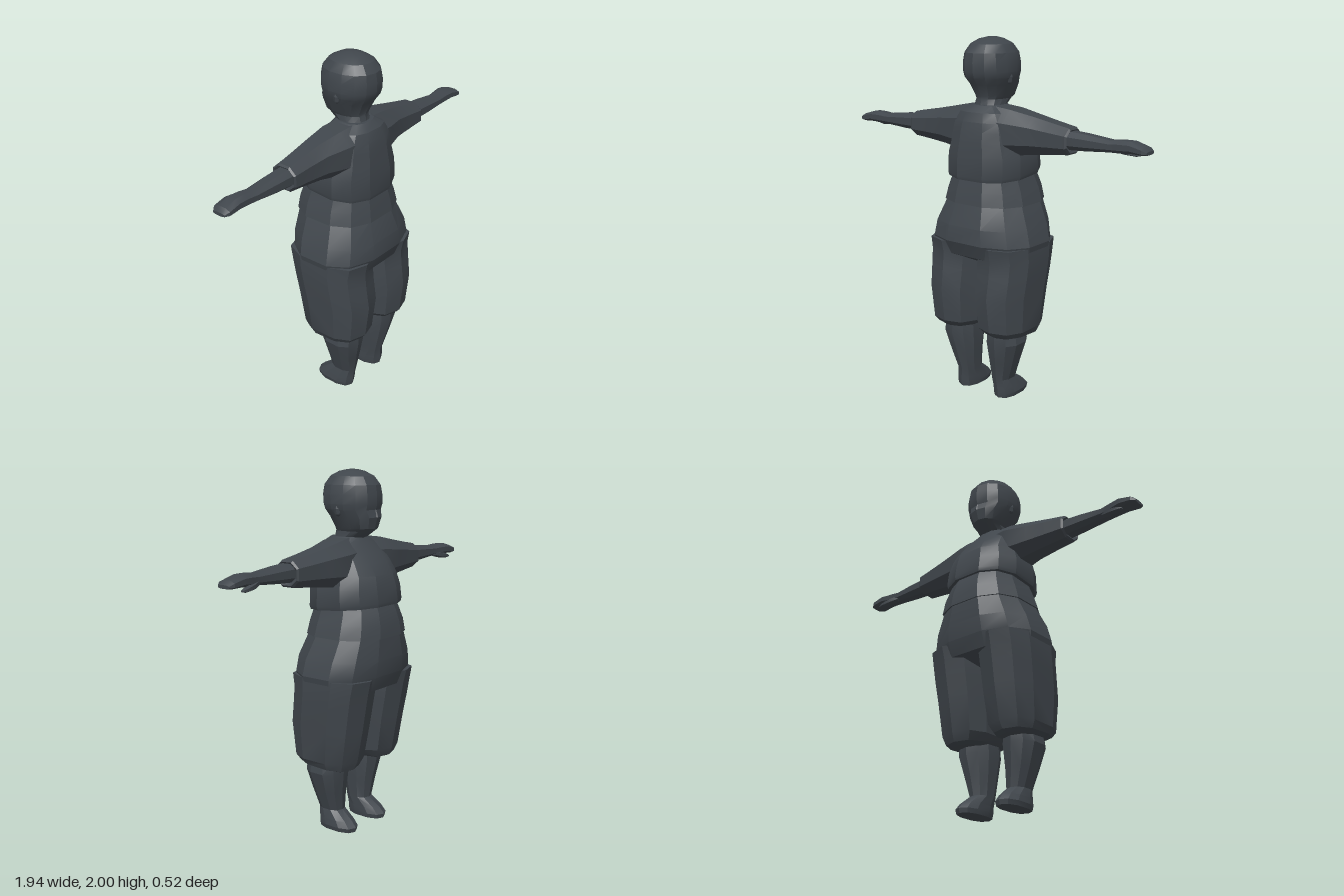
import * as THREE from 'three';
import { toCreasedNormals } from 'three/addons/utils/BufferGeometryUtils.js';

const slate = new THREE.MeshStandardMaterial({ color: 0x40464c });
slate.name = 'slate';

// Lofts rounded-square rings. Row: [t, u0, u1, v0, v1, tilt of t along v].
// axis 'y': t = y, u = x, v = z.  axis 'x': t = x, u = z, v = y.
function loft(name, rows, { axis = 'y', sides = 12, power = 2.6, side = 1 } = {}) {
  const pos = [], index = [];
  const put = (t, u, v) => {
    const p = axis === 'y' ? [u, t, v] : [t, v, u];
    pos.push(p[0] * side, p[1], p[2]);
  };
  const tri = (a, b, c) => (side > 0 ? index.push(a, b, c) : index.push(a, c, b));
  const round = (k) => Math.sign(k) * Math.abs(k) ** (2 / power);
  const reach = round(Math.cos(Math.PI / sides));
  for (const [t, u0, u1, v0, v1, tilt = 0] of rows) {
    for (let j = 0; j < sides; j++) {
      const a = ((j + 0.5) / sides) * Math.PI * 2;
      const u = (u0 + u1) / 2 + ((u1 - u0) / 2) * round(Math.cos(a)) / reach;
      const v = (v0 + v1) / 2 + ((v1 - v0) / 2) * round(Math.sin(a)) / reach;
      put(t + tilt * v, u, v);
    }
  }
  for (let i = 0; i < rows.length - 1; i++) {
    for (let j = 0; j < sides; j++) {
      const k = (j + 1) % sides;
      const a = i * sides + j, b = i * sides + k, c = b + sides, d = a + sides;
      tri(a, d, b);
      tri(b, d, c);
    }
  }
  // End caps
  for (const i of [0, rows.length - 1]) {
    const [t, u0, u1, v0, v1, tilt = 0] = rows[i];
    const mid = pos.length / 3;
    put(t + tilt * (v0 + v1) / 2, (u0 + u1) / 2, (v0 + v1) / 2);
    for (let j = 0; j < sides; j++) {
      const a = i * sides + j, b = i * sides + ((j + 1) % sides);
      if (i === 0) tri(mid, a, b);
      else tri(mid, b, a);
    }
  }
  const geo = new THREE.BufferGeometry();
  geo.setAttribute('position', new THREE.Float32BufferAttribute(pos, 3));
  geo.setIndex(index);
  return named(name, geo);
}

function named(name, geo) {
  const mesh = new THREE.Mesh(toCreasedNormals(geo, 0.4), slate);
  mesh.name = name;
  return mesh;
}

// Row that is symmetric in x
const sym = (y, w, z0, z1, tilt) => [y, -w, w, z0, z1, tilt];

export function createModel() {
  const model = new THREE.Group();
  model.name = 'figure';

  // Head and neck, face towards -z
  model.add(loft('head', [
    sym(1.58, 0.1, -0.06, 0.12),
    sym(1.64, 0.08, -0.065, 0.105),
    sym(1.675, 0.078, -0.12, 0.098),
    sym(1.69, 0.088, -0.14, 0.1),
    sym(1.75, 0.112, -0.157, 0.13),
    sym(1.79, 0.132, -0.146, 0.158),
    sym(1.82, 0.138, -0.154, 0.167),
    sym(1.87, 0.137, -0.154, 0.17),
    sym(1.92, 0.128, -0.145, 0.162),
    sym(1.965, 0.1, -0.11, 0.128),
    sym(1.99, 0.06, -0.06, 0.08),
    sym(2.0, 0.02, -0.02, 0.03),
  ], { sides: 14, power: 2.2 }));
  const nose = named('nose', new THREE.ConeGeometry(0.018, 0.05, 4));
  nose.position.set(0, 1.775, -0.148);
  model.add(nose);

  // Jacket with an overhanging, sloping hem
  model.add(loft('jacket', [
    sym(1.27, 0.2, -0.2, 0.17, -0.09),
    sym(1.265, 0.232, -0.232, 0.2, -0.09),
    sym(1.285, 0.238, -0.236, 0.205, -0.09),
    sym(1.38, 0.235, -0.225, 0.2),
    sym(1.45, 0.212, -0.208, 0.193),
    sym(1.51, 0.2, -0.17, 0.185),
    sym(1.56, 0.185, -0.13, 0.175),
    sym(1.61, 0.15, -0.085, 0.158),
    sym(1.645, 0.09, -0.06, 0.12),
  ]));

  // Waistband
  model.add(loft('waistband', [
    sym(1.12, 0.2, -0.2, 0.17),
    sym(1.118, 0.257, -0.255, 0.217),
    sym(1.19, 0.238, -0.248, 0.205),
    sym(1.255, 0.212, -0.23, 0.19),
    sym(1.3, 0.2, -0.21, 0.18),
  ]));

  // Seat of the trousers
  model.add(loft('trouserSeat', [
    sym(0.78, 0.14, -0.1, 0.12),
    sym(0.83, 0.31, -0.215, 0.222),
    sym(0.91, 0.325, -0.245, 0.255),
    sym(1.0, 0.302, -0.254, 0.25),
    sym(1.125, 0.245, -0.247, 0.208),
  ]));

  for (const side of [1, -1]) {
    const prefix = side > 0 ? 'left' : 'right';
    const limb = { axis: 'x', sides: 8, power: 2.3, side };

    // Sleeve, with a stepped cuff at the end
    model.add(loft(prefix + 'Sleeve', [
      [0.06, -0.1, 0.155, 1.37, 1.645],
      [0.17, -0.115, 0.14, 1.385, 1.63],
      [0.3, -0.095, 0.1, 1.402, 1.603],
      [0.42, -0.08, 0.09, 1.415, 1.58],
      [0.525, -0.068, 0.086, 1.425, 1.562],
      [0.535, -0.06, 0.08, 1.435, 1.553],
      [0.525, -0.045, 0.068, 1.45, 1.54],
    ], limb));

    // Forearm and flat hand
    model.add(loft(prefix + 'ForearmAndHand', [
      [0.5, -0.045, 0.07, 1.45, 1.548],
      [0.62, -0.04, 0.066, 1.455, 1.54],
      [0.76, -0.03, 0.057, 1.465, 1.525],
      [0.82, -0.038, 0.055, 1.465, 1.53],
      [0.88, -0.047, 0.058, 1.47, 1.53],
      [0.95, -0.045, 0.06, 1.468, 1.51],
      [0.972, -0.03, 0.045, 1.472, 1.49],
    ], limb));
    model.add(loft(prefix + 'Thumb', [
      [0.76, -0.025, 0.01, 1.465, 1.5],
      [0.81, -0.045, -0.01, 1.452, 1.485],
      [0.87, -0.052, -0.022, 1.447, 1.47],
      [0.895, -0.045, -0.03, 1.45, 1.46],
    ], { ...limb, sides: 6 }));

    // Baggy trouser leg gathered below the knee
    model.add(loft(prefix + 'TrouserLeg', [
      [0.375, 0.08, 0.245, -0.095, 0.175, 0.05],
      [0.39, 0.05, 0.28, -0.125, 0.205, 0.05],
      [0.43, 0.02, 0.3, -0.145, 0.23],
      [0.62, 0.006, 0.311, -0.18, 0.252],
      [0.74, 0.004, 0.319, -0.202, 0.235],
      [0.83, 0.002, 0.322, -0.218, 0.226],
      [0.9, 0.01, 0.318, -0.235, 0.24],
    ], { side, sides: 10 }));

    // Calf and foot
    model.add(loft(prefix + 'CalfAndFoot', [
      [0, 0.075, 0.19, -0.11, 0.115],
      [0.025, 0.07, 0.196, -0.116, 0.12],
      [0.06, 0.072, 0.19, -0.085, 0.122],
      [0.11, 0.07, 0.178, -0.015, 0.127],
      [0.22, 0.062, 0.215, -0.025, 0.152],
      [0.34, 0.052, 0.252, -0.045, 0.178],
      [0.42, 0.06, 0.24, -0.045, 0.175],
    ], { side, sides: 10, power: 2.4 }));

    // Ear
    const ear = named(prefix + 'Ear', new THREE.SphereGeometry(1, 6, 4));
    ear.scale.set(0.018, 0.042, 0.025);
    ear.position.set(side * 0.121, 1.795, 0.01);
    model.add(ear);
  }
  return model;
}
